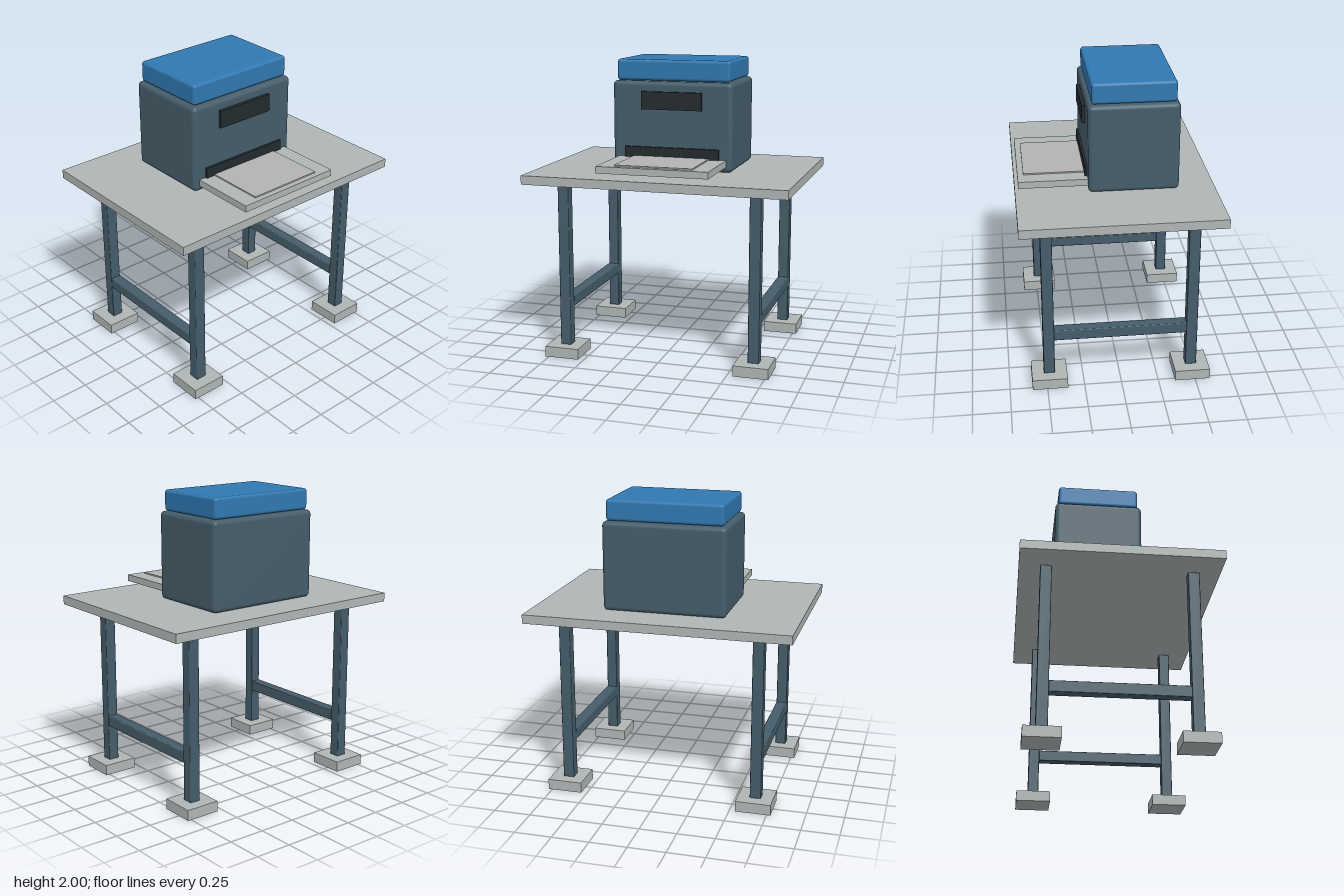
import * as THREE from 'three';
import { RoundedBoxGeometry } from 'three/addons/geometries/RoundedBoxGeometry.js';

const material = (color) => new THREE.MeshStandardMaterial({ color });

export function createModel() {
  const model = new THREE.Group();
  const slate = material(0x455d6a);
  const blue = material(0x3078b0);
  const dark = material(0x232b2e);
  const stone = material(0xafb6b5);
  const paperGrey = material(0xb4b2b2);

  // Box given by its [min, max] range on each axis, optionally with rounded edges
  function box(name, mat, [x0, x1], [y0, y1], [z0, z1], radius = 0) {
    const size = [x1 - x0, y1 - y0, z1 - z0];
    const geometry = radius
      ? new RoundedBoxGeometry(...size, 4, radius)
      : new THREE.BoxGeometry(...size);
    const mesh = new THREE.Mesh(geometry, mat);
    mesh.name = name;
    mesh.position.set((x0 + x1) / 2, (y0 + y1) / 2, (z0 + z1) / 2);
    model.add(mesh);
    return mesh;
  }
  const around = (centre, width) => [centre - width / 2, centre + width / 2];

  // Table: top, four legs on square feet, one rail on each side
  box('tableTop', stone, [-0.895, 0.895], [1.2, 1.26], [-0.657, 0.657]);
  for (const sx of [-1, 1]) {
    const side = sx > 0 ? 'left' : 'right';
    const x = sx * 0.657;
    for (const sz of [-1, 1]) {
      const end = sz > 0 ? 'Front' : 'Back';
      const z = sz * 0.481;
      box(`${side}${end}Leg`, slate, around(x, 0.075), [0.07, 1.2], around(z, 0.075), 0.006);
      box(`${side}${end}Foot`, stone, around(x, 0.237), [0, 0.072], around(z, 0.237));
    }
    box(`${side}Rail`, slate, around(x, 0.075), [0.325, 0.4], [-0.445, 0.445], 0.006);
  }

  // Printer housing and lid
  box('printerBody', slate, [-0.417, 0.417], [1.26, 1.857], [-0.417, 0.18], 0.03);
  box('printerLid', blue, [-0.393, 0.393], [1.86, 2], [-0.395, 0.156], 0.02);

  // Front panel, paper slot, output tray and sheet
  box('frontPanel', dark, [-0.21, 0.21], [1.67, 1.79], [0.175, 0.202]);
  box('paperSlot', dark, [-0.328, 0.328], [1.343, 1.415], [0.175, 0.196]);
  box('outputTray', stone, [-0.377, 0.377], [1.298, 1.344], [0.178, 0.635]);
  box('paperSheet', paperGrey, [-0.263, 0.263], [1.344, 1.353], [0.185, 0.597]);

  return model;
}
